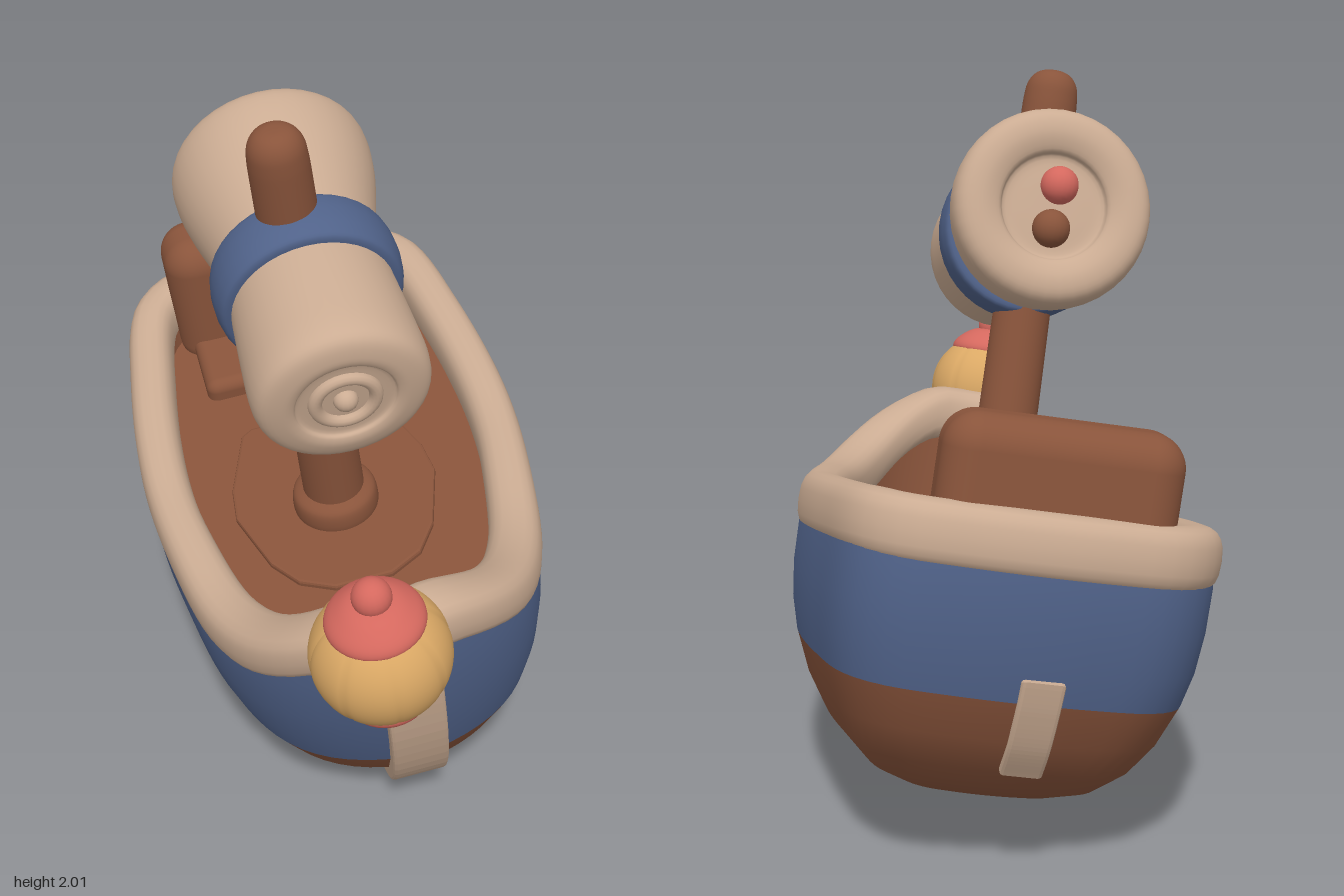
import * as THREE from 'three';
import { RoundedBoxGeometry } from 'three/addons/geometries/RoundedBoxGeometry.js';

const mat = (name, color) => {
  const m = new THREE.MeshStandardMaterial({ color });
  m.name = name;
  return m;
};

export function createModel() {
  const wood = mat('brown wood', 0x89543b);
  const cloth = mat('tan cloth', 0xcbac93);
  const blue = mat('blue', 0x506289);
  const gold = mat('gold', 0xdaa865);
  const red = mat('red', 0xd4685e);

  const boat = new THREE.Group();
  boat.name = 'boat';
  const add = (name, geo, material, x = 0, y = 0, z = 0, parent = boat) => {
    const m = new THREE.Mesh(geo, material);
    m.name = name;
    m.position.set(x, y, z);
    parent.add(m);
    return m;
  };

  // Plan outline of the hull: bow at +z, rounded transom at -z
  const BOW = 0.81, STERN = -1.07;
  const half = [[0.13, 0.787], [0.265, 0.715], [0.37, 0.6], [0.46, 0.4], [0.52, 0.1], [0.545, -0.2],
    [0.515, -0.6], [0.45, -0.91], [0.35, -1.015], [0.18, -1.057]];
  const plan = [[0, BOW], ...half, [0, STERN], ...half.map(([x, z]) => [-x, z]).reverse()];
  const N = 96;
  const curve = new THREE.CatmullRomCurve3(plan.map(([x, z]) => new THREE.Vector3(x, 0, z)), true);
  const outline = curve.getSpacedPoints(N).slice(0, N);
  const ramp = (v) => THREE.MathUtils.clamp(v, 0, 1);
  const sheer = (z) => 0.255 * Math.pow(ramp((z - 0.2) / 0.59), 2.5) + 0.045 * ramp((-0.1 - z) / 0.8);

  // Closed rows of points joined into a skin, rows running upward on the outside
  const skin = (rows, fn) => {
    const pos = [], idx = [];
    for (let j = 0; j < rows; j++) for (let i = 0; i < N; i++) pos.push(...fn(j, i));
    for (let j = 0; j < rows - 1; j++) for (let i = 0; i < N; i++) {
      const a = j * N + i, b = j * N + (i + 1) % N;
      idx.push(a, b, b + N, a, b + N, a + N);
    }
    const g = new THREE.BufferGeometry();
    g.setAttribute('position', new THREE.Float32BufferAttribute(pos, 3));
    g.setIndex(idx);
    g.computeVertexNormals();
    return g;
  };
  // Level: height, width scale, stern z, bow z, share of sheer
  const loft = (levels) => skin(levels.length, (j, i) => {
    const [y, w, stern, bow, f] = levels[j], p = outline[i];
    return [p.x * w, y + sheer(p.z) * f, THREE.MathUtils.mapLinear(p.z, STERN, BOW, stern, bow)];
  });

  // Hull
  add('lowerHull', loft([
    [0.02, 0.001, -0.1, -0.09, 0], [0.024, 0.25, -0.45, 0.27, 0], [0.045, 0.46, -0.63, 0.39, 0],
    [0.09, 0.62, -0.76, 0.49, 0], [0.16, 0.755, -0.86, 0.58, 0.02], [0.25, 0.86, -0.94, 0.66, 0.1],
    [0.355, 0.94, -0.995, 0.73, 0.2]]), wood);
  add('blueBand', loft([
    [0.355, 0.94, -0.995, 0.73, 0.2], [0.44, 0.98, -1.025, 0.765, 0.35], [0.54, 1, -1.045, 0.79, 0.55],
    [0.65, 1, -1.06, 0.805, 0.8], [0.73, 0.97, -1.05, 0.79, 1]]), blue);
  add('innerWall', loft([
    [0.76, 0.84, -0.965, 0.71, 1], [0.72, 0.83, -0.955, 0.7, 0.5], [0.665, 0.82, -0.945, 0.68, 0]]), wood);
  add('deck', loft([[0.67, 0.84, -0.965, 0.7, 0], [0.67, 0.001, -0.1, -0.09, 0]]), wood);

  // Padded rim following the outline, a little wider at the bow
  const R = 20;
  add('rim', skin(R + 1, (j, i) => {
    const t = curve.getTangentAt(i / N), p = outline[i];
    const a = -Math.PI / 2 + (j / R) * Math.PI * 2;
    const soft = (v) => Math.sign(v) * Math.pow(Math.abs(v), 0.75);
    const wide = 0.067 + 0.012 * ramp(p.z / 0.6);
    const o = soft(Math.cos(a)) * wide - wide + 0.01;
    return [p.x - t.z * o, 0.71 + sheer(p.z) + soft(Math.sin(a)) * 0.084, p.z + t.x * o];
  }), cloth);

  // Strips bent along the stem and the stern
  const strip = (name, pts, width, x) => {
    const outer = new THREE.SplineCurve(pts.map(([z, y]) => new THREE.Vector2(z, y))).getPoints(24);
    const mid = new THREE.Vector2(-0.1, 0.6);
    const inner = outer.map((p) => p.clone().lerp(mid, 0.09)).reverse();
    const g = new THREE.ExtrudeGeometry(new THREE.Shape([...outer, ...inner]),
      { depth: width - 0.02, bevelSize: 0.008, bevelThickness: 0.01, bevelSegments: 2 });
    g.translate(0, 0, 0.01 - width / 2).rotateY(-Math.PI / 2);
    add(name, g, cloth, x);
  };
  strip('stemStrip', [[0.33, 0.026], [0.46, 0.073], [0.62, 0.19], [0.735, 0.36], [0.795, 0.55], [0.82, 0.73], [0.825, 0.86]], 0.155, 0);
  strip('sternStrip', [[-1.022, 0.42], [-0.99, 0.34], [-0.94, 0.245], [-0.88, 0.17]], 0.11, -0.04);

  // Deck plate under the mast
  const side = [[0.08, 0.31], [0.17, 0.26], [0.23, 0.17], [0.29, -0.03], [0.28, -0.14], [0.21, -0.35], [0.18, -0.37]];
  const plate = new THREE.Shape([...side, ...side.map(([x, z]) => [-x, z]).reverse()]
    .map(([x, z]) => new THREE.Vector2(x, -z)));
  add('deckPlate', new THREE.ExtrudeGeometry(plate,
    { depth: 0.012, bevelSize: 0.008, bevelThickness: 0.008, bevelSegments: 2 }).rotateX(-Math.PI / 2), wood, -0.02, 0.668, 0);
  add('bowKnob', new THREE.SphereGeometry(0.032, 16, 12), wood, 0, 0.91, 0.65);

  // Seat
  add('seat', new RoundedBoxGeometry(0.56, 0.12, 0.4, 4, 0.035), wood, -0.02, 0.672, -0.75);
  add('seatBack', new RoundedBoxGeometry(0.61, 0.46, 0.24, 8, 0.09), wood, -0.03, 0.83, -0.89).rotation.x = -0.06;

  // Round parts turned from a smoothed profile
  const turned = (pts) => new THREE.LatheGeometry(
    new THREE.SplineCurve(pts.map(([r, y]) => new THREE.Vector2(r, y))).getPoints(pts.length * 4)
      .map((p) => p.set(Math.max(p.x, 0), p.y)), 40);
  add('mast', turned([[0.088, 0.62], [0.086, 1], [0.081, 1.5], [0.079, 1.85], [0.077, 1.94], [0.07, 1.98],
    [0.052, 2.006], [0.027, 2.018], [0, 2.02]]), wood, -0.025, 0, -0.01).rotation.x = 0.013;
  add('mastCollar', turned([[0.115, 0.66], [0.123, 0.7], [0.116, 0.745], [0.085, 0.765]]), wood, -0.025, 0, 0);

  // Rolled sail lying fore and aft across the mast
  const sail = new THREE.Group();
  sail.name = 'rolledSail';
  sail.position.set(-0.007, 1.548, 0);
  sail.rotation.set(0.14, 0, 0);
  boat.add(sail);
  const along = (g) => g.rotateX(Math.PI / 2);
  add('sailRoll', along(turned([[0, -0.4], [0.07, -0.4], [0.135, -0.4], [0.152, -0.425], [0.2, -0.442], [0.25, -0.43],
    [0.272, -0.38], [0.263, -0.27], [0.222, -0.1], [0.205, 0], [0.215, 0.1], [0.227, 0.28], [0.23, 0.39],
    [0.213, 0.44], [0.165, 0.458], [0.135, 0.455], [0.122, 0.442], [0.06, 0.442], [0, 0.442]])), cloth, 0, 0, 0, sail);
  add('sailBand', along(turned([[0.2, -0.08], [0.235, -0.075], [0.247, -0.04], [0.25, 0], [0.247, 0.04],
    [0.235, 0.075], [0.2, 0.08]])), blue, 0, 0, 0.035, sail);
  add('rollRing', new THREE.TorusGeometry(0.078, 0.018, 12, 32), cloth, 0, 0, 0.442, sail);
  add('rollCore', new THREE.SphereGeometry(0.032, 16, 12), cloth, 0, 0, 0.442, sail);
  add('redKnob', new THREE.SphereGeometry(0.052, 20, 14), red, -0.01, 0.06, -0.405, sail);
  add('brownKnob', new THREE.SphereGeometry(0.052, 20, 14), wood, 0, -0.06, -0.405, sail);

  // Lantern hung on the bow, with shallow ribs
  const lantern = new THREE.Group();
  lantern.name = 'lantern';
  lantern.position.set(-0.077, 1.06, 0.885);
  boat.add(lantern);
  const globe = new THREE.SphereGeometry(0.178, 96, 32);
  const gp = globe.attributes.position;
  for (let i = 0; i < gp.count; i++) {
    const x = gp.getX(i), z = gp.getZ(i);
    const k = 1 - 0.02 * Math.pow(1 - Math.abs(Math.sin(Math.atan2(z, x) * 4)), 5);
    gp.setXYZ(i, x * k, gp.getY(i) * 0.97, z * k);
  }
  globe.computeVertexNormals();
  add('lanternGlobe', globe, gold, 0, 0, 0, lantern);
  add('lanternTop', turned([[0.09, 0.11], [0.122, 0.118], [0.122, 0.14], [0.1, 0.165], [0.06, 0.19], [0, 0.2]]), red, 0, 0, 0, lantern);
  add('lanternTopKnob', new THREE.SphereGeometry(0.05, 20, 14), red, 0, 0.208, 0, lantern);
  add('lanternBase', turned([[0, -0.2], [0.06, -0.195], [0.095, -0.175], [0.112, -0.15], [0.108, -0.13], [0.08, -0.12]]), red, 0, 0, 0, lantern);
  add('lanternBaseKnob', new THREE.SphereGeometry(0.045, 20, 14), red, 0, -0.19, 0, lantern);

  // Turn the bow toward the front left and lean the boat as if on a wave
  const turn = 0.859, lean = 0.208, shift = 0.155;
  boat.rotation.set(lean, turn, 0, 'XYZ');
  boat.position.set(shift, 0, 0).applyEuler(boat.rotation);
  const model = new THREE.Group();
  model.name = 'sailingBoat';
  model.add(boat);
  return model;
}
